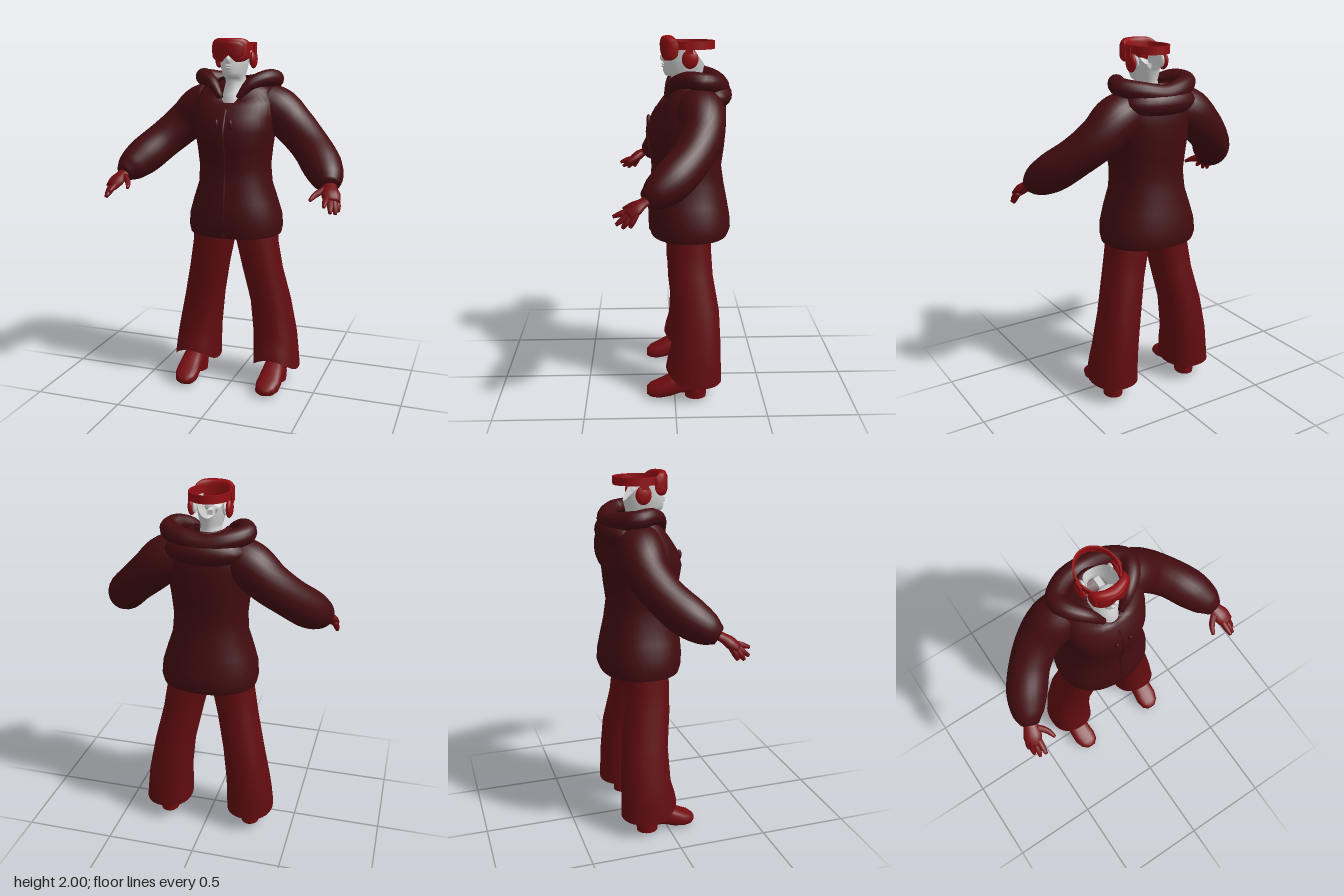
import * as THREE from 'three';

const mat = (name, color, side = THREE.FrontSide) => {
  const m = new THREE.MeshStandardMaterial({ color, side });
  m.name = name;
  return m;
};
const V = (x, y, z) => new THREE.Vector3(x, y, z);
const spow = (v, p) => Math.sign(v) * Math.abs(v) ** p;

// Skin a list of equal-length point rings into a smooth surface
function loft(rings, capStart = false, capEnd = false) {
  const n = rings[0].length, pos = [], idx = [];
  rings.forEach(r => r.forEach(p => pos.push(p.x, p.y, p.z)));
  for (let i = 0; i < rings.length - 1; i++) for (let j = 0; j < n; j++) {
    const a = i * n + j, b = i * n + (j + 1) % n;
    idx.push(a, b, a + n, b, b + n, a + n);
  }
  const cap = (i, flip) => {
    const c = V(0, 0, 0);
    rings[i].forEach(p => c.addScaledVector(p, 1 / n));
    const k = pos.length / 3;
    pos.push(c.x, c.y, c.z);
    for (let j = 0; j < n; j++) {
      const a = i * n + j, b = i * n + (j + 1) % n;
      if (flip) idx.push(k, b, a); else idx.push(k, a, b);
    }
  };
  if (capStart) cap(0, true);
  if (capEnd) cap(rings.length - 1, false);
  const g = new THREE.BufferGeometry();
  g.setAttribute('position', new THREE.Float32BufferAttribute(pos, 3));
  g.setIndex(idx);
  g.computeVertexNormals();
  return g;
}

// Horizontal oval; the front or the back can dip
function oval([y, cx, rx, zf, zb, frontDip = 0, backDip = 0], n = 40, p = 0.9) {
  return Array.from({ length: n }, (_, j) => {
    const t = j / n * Math.PI * 2, c = Math.cos(t);
    const dip = c > 0 ? frontDip * c * c : backDip * c * c;
    return V(cx + rx * spow(Math.sin(t), p), y - dip, (zf + zb) / 2 + (zf - zb) / 2 * spow(c, p));
  });
}

// Round limb through [x, y, z, radius] points, flattened by 'flat' vertically
function limb(pts, steps = 16, n = 16, flat = 1) {
  const curve = new THREE.CatmullRomCurve3(pts.map(p => V(...p)));
  const radii = new THREE.CatmullRomCurve3(pts.map((p, i) => V(i, p[3], 0)));
  const rings = [];
  for (let i = 0; i <= steps; i++) {
    const u = i / steps, c = curve.getPoint(u), T = curve.getTangent(u), r = radii.getPoint(u).y;
    const e1 = V(0, 1, 0).addScaledVector(T, -T.y).normalize(), e2 = T.clone().cross(e1);
    rings.push(Array.from({ length: n }, (_, j) => {
      const t = j / n * Math.PI * 2;
      return c.clone().addScaledVector(e1, r * flat * Math.cos(t)).addScaledVector(e2, r * Math.sin(t));
    }));
  }
  return loft(rings, true, true);
}

function ball(x, y, z, rx, ry, rz) {
  return new THREE.SphereGeometry(1, 20, 14).scale(rx, ry, rz).translate(x, y, z);
}

function mirrored(geo) {
  const g = geo.clone().scale(-1, 1, 1), a = g.index.array;
  for (let i = 0; i < a.length; i += 3) [a[i], a[i + 1]] = [a[i + 1], a[i]];
  g.computeVertexNormals();
  return g;
}

// Curved visor with a nose notch, swept from side to side
function visor(half, top, bottom, depth, push) {
  const rings = [], steps = 28;
  for (let i = 0; i <= steps; i++) {
    const x = half * (i / steps * 2 - 1), e = Math.abs(x) / half;
    const shrink = 0.022 * e ** 6;
    const yt = top - shrink, yb = bottom + shrink + 0.038 * Math.max(0, 1 - Math.abs(x) / 0.04);
    const zc = 0.043 + push - 4 * x * x;
    rings.push(Array.from({ length: 20 }, (_, j) => {
      const t = j / 20 * Math.PI * 2;
      return V(x, (yt + yb) / 2 + (yt - yb) / 2 * spow(Math.cos(t), 0.5), zc + depth * spow(Math.sin(t), 0.6));
    }));
  }
  return loft(rings, true, true);
}

export function createModel() {
  const model = new THREE.Group();
  const jacket = mat('jacketMaroon', 0x420c10, THREE.DoubleSide);
  const trousers = mat('trouserRed', 0x610c10, THREE.DoubleSide);
  const leather = mat('gloveAndBootRed', 0x720d11);
  const goggle = mat('goggleRed', 0x930e13);
  const lens = mat('lensRed', 0x840d11);
  const skin = mat('paleSkin', 0xd2d2d2, THREE.DoubleSide);
  const add = (name, geo, m) => {
    const mesh = new THREE.Mesh(geo, m);
    mesh.name = name;
    model.add(mesh);
  };
  const pair = (name, geo, m) => {
    add('left' + name, geo, m);
    add('right' + name, mirrored(geo), m);
  };

  // Jacket body with an open neckline dipping at the front
  add('jacketBody', loft([
    [0.91, 0, 0.262, 0.128, -0.305], [0.95, 0, 0.27, 0.14, -0.32], [1.02, 0, 0.264, 0.142, -0.315],
    [1.1, 0, 0.24, 0.136, -0.3], [1.2, 0, 0.207, 0.12, -0.28], [1.3, 0, 0.2, 0.115, -0.265],
    [1.4, 0, 0.21, 0.13, -0.278], [1.5, 0, 0.225, 0.145, -0.287], [1.58, 0, 0.235, 0.12, -0.287],
    [1.66, 0, 0.235, 0.08, -0.285, 0.02], [1.73, 0, 0.19, 0.065, -0.26, 0.075],
    [1.785, 0, 0.085, 0.05, -0.2, 0.145],
  ].map(r => oval(r)), false, false), jacket);
  add('frontSeam', new THREE.TubeGeometry(new THREE.CatmullRomCurve3([
    V(0, 0.92, 0.132), V(0, 1.1, 0.136), V(0, 1.3, 0.117), V(0, 1.5, 0.145), V(0, 1.62, 0.092),
  ]), 24, 0.007, 6), jacket);
  pair('Toggle', ball(0.04, 1.545, 0.136, 0.012, 0.028, 0.012), jacket);

  // Sleeves, puffed at the cuff
  pair('Sleeve', limb([
    [0.15, 1.64, -0.13, 0.12], [0.23, 1.605, -0.14, 0.125], [0.32, 1.525, -0.135, 0.115],
    [0.43, 1.425, -0.075, 0.107], [0.52, 1.335, 0.02, 0.107], [0.57, 1.28, 0.1, 0.085],
    [0.592, 1.25, 0.15, 0.05],
  ], 28, 24), jacket);

  // Rolled hood edge around the neck and the hood lying on the back
  const roll = [[0.05, 1.68, 0.035, 0.016], [0.11, 1.755, 0.0, 0.034], [0.18, 1.785, -0.07, 0.045],
    [0.205, 1.775, -0.15, 0.05], [0.12, 1.755, -0.225, 0.052]];
  add('hoodRoll', limb([
    ...roll, [0, 1.735, -0.25, 0.052],
    ...roll.slice().reverse().map(([x, y, z, r]) => [-x, y, z, r]),
  ], 44, 16), jacket);
  add('hoodDrape', ball(0, 1.69, -0.2, 0.215, 0.085, 0.118), jacket);

  // Flared trouser legs, hem lifted at the front
  pair('TrouserLeg', loft([
    [0.1, 0.248, 0.134, 0.05, -0.265, -0.08], [0.2, 0.242, 0.13, 0.04, -0.262, -0.03],
    [0.3, 0.235, 0.125, 0.02, -0.26], [0.5, 0.205, 0.115, 0.012, -0.25], [0.7, 0.162, 0.113, 0.035, -0.215],
    [0.85, 0.133, 0.118, 0.04, -0.205], [0.92, 0.122, 0.127, 0.04, -0.205], [1.02, 0.115, 0.118, 0.035, -0.2],
  ].map(r => oval(r, 32)), false, true), trousers);

  // Boots: rows are z, centre x, half width, top, bottom
  const bootRows = [[-0.18, 0.25, 0.03, 0.11, 0.04], [-0.165, 0.25, 0.05, 0.14, 0.03], [-0.1, 0.252, 0.058, 0.17, 0.03],
    [-0.03, 0.253, 0.06, 0.16, 0.028], [0.03, 0.253, 0.066, 0.125, 0.01], [0.09, 0.25, 0.069, 0.09, 0.002],
    [0.135, 0.246, 0.056, 0.07, 0.004], [0.16, 0.244, 0.028, 0.05, 0.014]];
  pair('Boot', loft(bootRows.map(([z, cx, w, top, bot]) => Array.from({ length: 20 }, (_, j) => {
    const t = j / 20 * Math.PI * 2;
    return V(cx + w * spow(Math.cos(t), 0.75), (top + bot) / 2 + (top - bot) / 2 * spow(Math.sin(t), 0.75), z);
  })), true, true), leather);
  pair('BootHeel', new THREE.CylinderGeometry(0.056, 0.052, 0.055, 20).scale(1, 1, 1.15).translate(0.251, 0.0275, -0.118), leather);
  pair('BootShaft', new THREE.CylinderGeometry(0.058, 0.056, 0.2, 16).translate(0.251, 0.22, -0.105), leather);

  // Gloved hands
  pair('Palm', limb([[0.585, 1.26, 0.13, 0.038], [0.598, 1.24, 0.17, 0.04], [0.612, 1.215, 0.205, 0.05],
    [0.628, 1.185, 0.24, 0.04]], 10, 14, 0.6), leather);
  [['Thumb', [0.575, 1.238, 0.18], [0.535, 1.215, 0.22], [0.515, 1.192, 0.265]],
    ['IndexFinger', [0.595, 1.205, 0.22], [0.598, 1.19, 0.275], [0.6, 1.175, 0.315]],
    ['MiddleFinger', [0.615, 1.195, 0.23], [0.624, 1.165, 0.27], [0.63, 1.142, 0.3]],
    ['RingFinger', [0.632, 1.195, 0.22], [0.645, 1.155, 0.25], [0.65, 1.13, 0.268]],
    ['LittleFinger', [0.64, 1.2, 0.2], [0.652, 1.16, 0.22], [0.657, 1.135, 0.23]],
  ].forEach(([name, a, b, c]) => pair(name, limb([[...a, 0.018], [...b, 0.016], [...c, 0.009]], 8, 10), leather));

  // Neck and lower face, open at the top and behind
  add('neckAndFace', loft([
    [1.56, 0, 0.075, 0.04, -0.17], [1.64, 0, 0.076, 0.044, -0.17], [1.7, 0, 0.066, 0.02, -0.165],
    [1.76, 0, 0.055, -0.01, -0.155], [1.785, 0, 0.054, 0.015, -0.155, 0, 0.005], [1.792, 0, 0.055, 0.045, -0.155, 0, 0.005],
    [1.815, 0, 0.062, 0.056, -0.157, 0, 0.015], [1.85, 0, 0.07, 0.056, -0.16, 0, 0.035],
    [1.88, 0, 0.075, 0.054, -0.163, 0, 0.05], [1.93, 0, 0.078, 0.045, -0.168, 0, 0.085],
  ].map(r => oval(r, 32, 1))), skin);
  add('nose', ball(0, 1.885, 0.056, 0.014, 0.02, 0.016), skin);
  add('upperLip', ball(0, 1.853, 0.055, 0.022, 0.006, 0.01), skin);
  add('lowerLip', ball(0, 1.841, 0.054, 0.019, 0.007, 0.01), skin);
  add('innerMouth', ball(0, 1.865, -0.01, 0.052, 0.03, 0.042), skin);
  add('tongue', new THREE.BoxGeometry(0.03, 0.025, 0.06).translate(0, 1.86, -0.075), skin);
  pair('Ear', ball(0.08, 1.885, -0.1, 0.012, 0.035, 0.025), skin);

  // Goggles with strap and ear pads
  add('goggleFrame', visor(0.1, 1.999, 1.872, 0.026, 0), goggle);
  add('goggleLens', visor(0.084, 1.985, 1.886, 0.022, 0.008), lens);
  const band = new THREE.Shape().absellipse(0, 0, 0.109, 0.13, 0, Math.PI * 2);
  band.holes.push(new THREE.Path().absellipse(0, 0, 0.1, 0.121, 0, Math.PI * 2));
  add('goggleStrap', new THREE.ExtrudeGeometry(band, { depth: 0.042, bevelEnabled: false, curveSegments: 48 })
    .rotateX(-Math.PI / 2).translate(0, 1.932, -0.092), goggle);
  pair('EarPad', ball(0.1, 1.884, -0.085, 0.019, 0.05, 0.044), goggle);
  pair('EarPadHanger', new THREE.BoxGeometry(0.012, 0.06, 0.04).translate(0.109, 1.935, -0.08), goggle);
  return model;
}
